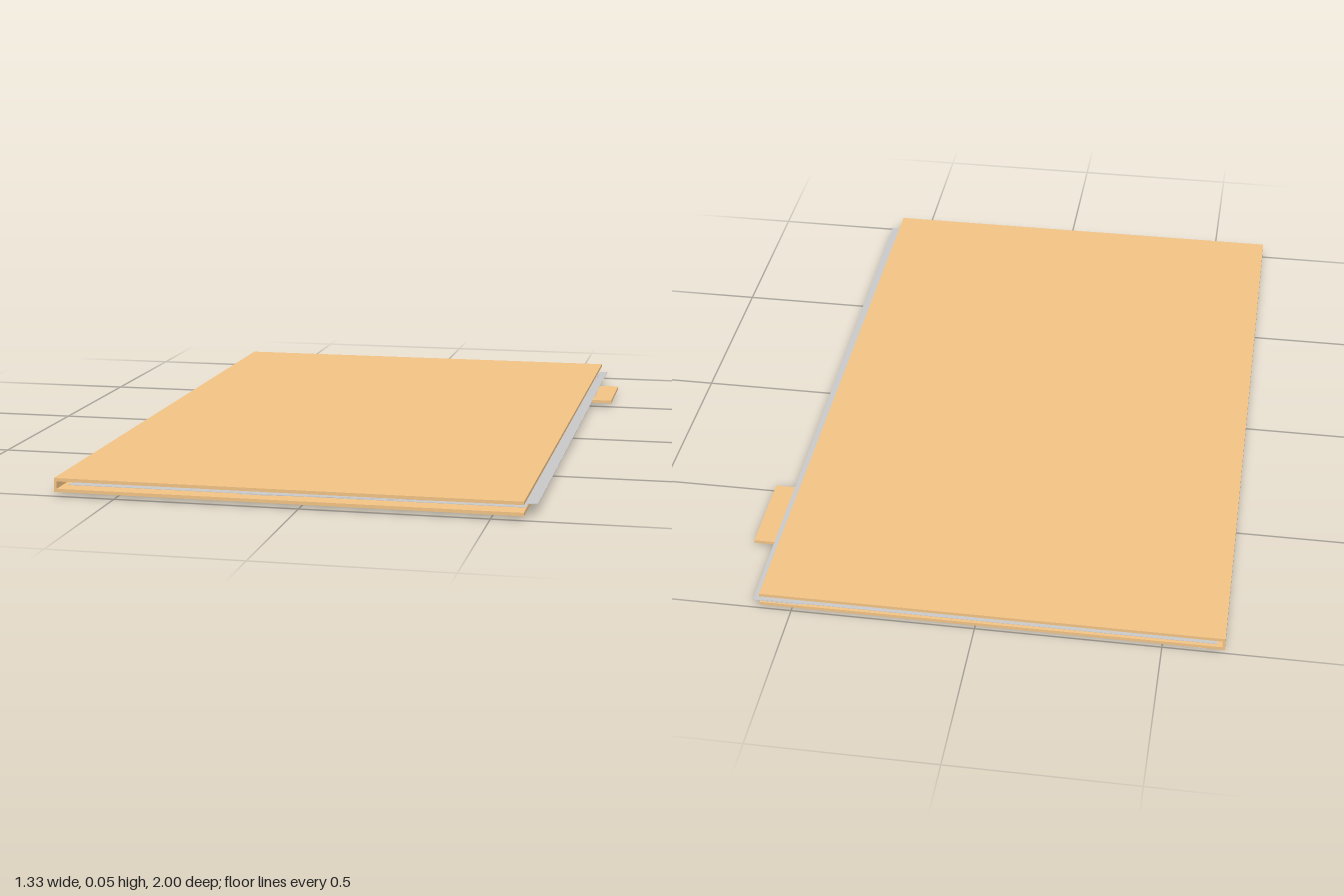
import * as THREE from 'three';

export function createModel() {
  const model = new THREE.Group();
  model.name = 'folderWithPapers';
  const card = new THREE.MeshStandardMaterial({ color: 0xf5c586 });
  const paper = new THREE.MeshStandardMaterial({ color: 0xcccccc });

  const add = (name, geometry, material) => {
    const mesh = new THREE.Mesh(geometry, material);
    mesh.name = name;
    model.add(mesh);
    return mesh;
  };

  // Folder: a C-shaped section (back cover, spine, front cover) open on the +x side
  const left = -0.665, right = 0.585, spine = 0.007;
  const section = new THREE.Shape([
    [left, 0.012], [right, 0.012], [right, 0.021], [left + spine, 0.021],
    [left + spine, 0.041], [right, 0.041], [right, 0.05], [left, 0.05],
  ].map(([x, y]) => new THREE.Vector2(x, y)));
  const folder = new THREE.ExtrudeGeometry(section, { depth: 2, bevelEnabled: false });
  add('folderCovers', folder.translate(0, 0, -1), card);

  // Index tab on the lower cover
  const tab = add('indexTab', new THREE.BoxGeometry(0.08, 0.009, 0.25), card);
  tab.position.set(0.625, 0.0165, -0.625);

  // Loose sheets: one tilted, poking through the lower cover, and one lying flat
  const sheet = (name, width, x, y, rx, ry, rz) => {
    const mesh = add(name, new THREE.BoxGeometry(width, 0.001, 1.95), paper);
    mesh.position.set(x, y, -0.018);
    mesh.rotation.set(rx, ry, rz);
  };
  sheet('tiltedSheet', 1.22, 0, 0.0178, -0.006, 0.005, 0.018);
  sheet('flatSheet', 1.225, -0.03, 0.0235, 0, 0.002, 0.001);

  return model;
}
